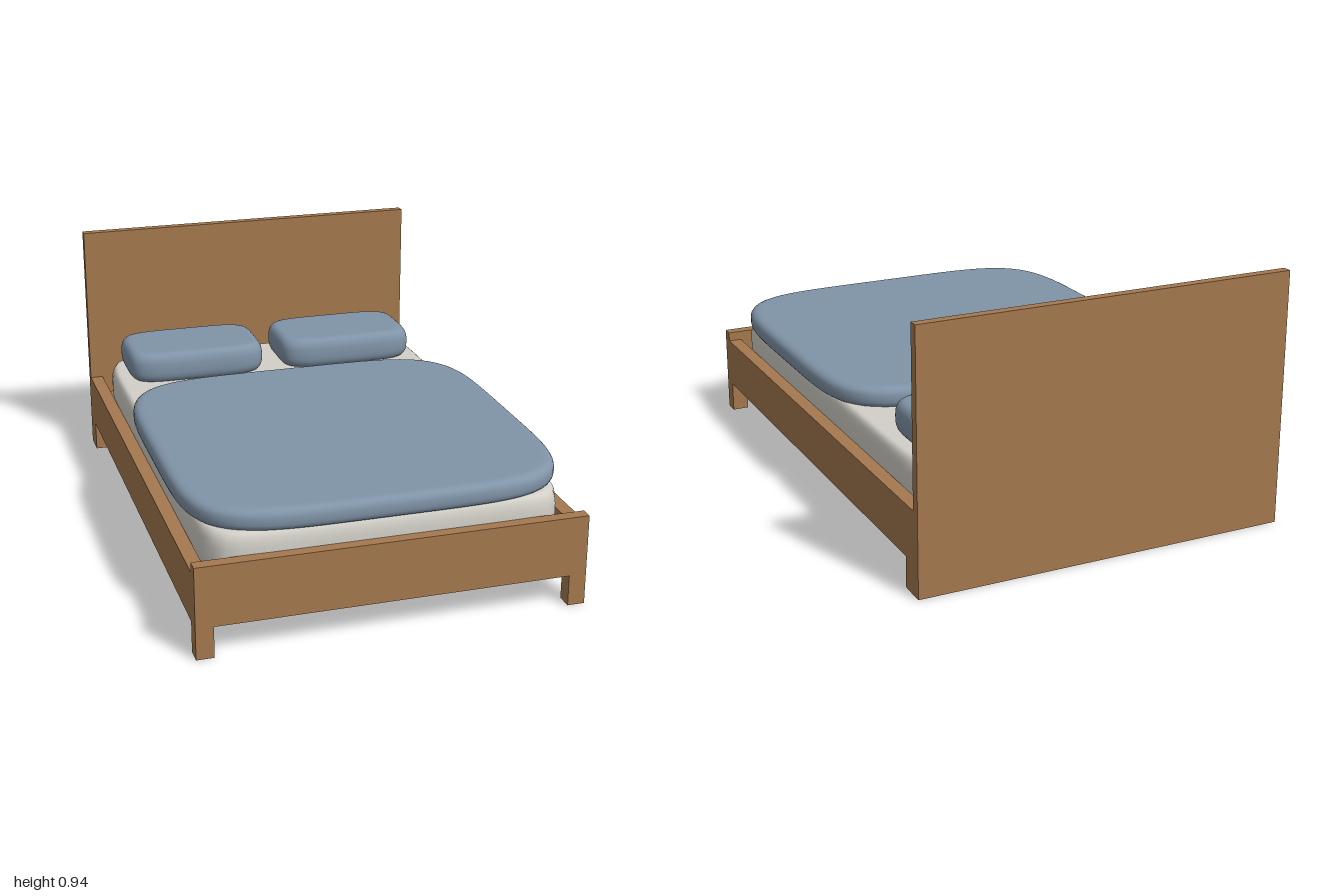
import * as THREE from 'three';

const wood = new THREE.MeshStandardMaterial({ color: 0xa4784e });
wood.name = 'wood';
const linen = new THREE.MeshStandardMaterial({ color: 0xd2d0c8 });
linen.name = 'mattressLinen';
const fabric = new THREE.MeshStandardMaterial({ color: 0x8094a8 });
fabric.name = 'blueFabric';

// Box given by its min and max on each axis
function board(name, [x0, x1], [y0, y1], [z0, z1]) {
  const mesh = new THREE.Mesh(new THREE.BoxGeometry(x1 - x0, y1 - y0, z1 - z0), wood);
  mesh.position.set((x0 + x1) / 2, (y0 + y1) / 2, (z0 + z1) / 2);
  mesh.name = name;
  return mesh;
}

// Soft slab: superellipse outline (power n) lofted over a rounded edge of width r
function cushion(name, material, [x0, x1], [y0, y1], [z0, z1], n, r) {
  const a = (x1 - x0) / 2, h = (y1 - y0) / 2, b = (z1 - z0) / 2;
  const seg = 128, rows = 14, pos = [], idx = [];
  const soft = (v) => Math.sign(v) * Math.pow(Math.abs(v), 0.75);
  pos.push(0, -h, 0);
  for (let j = 0; j <= rows; j++) {
    const v = (j / rows - 0.5) * Math.PI;
    const inset = r * (1 - soft(Math.max(0, Math.cos(v))));
    for (let i = 0; i < seg; i++) {
      const u = (i / seg) * Math.PI * 2, c = Math.cos(u), s = Math.sin(u);
      const k = Math.pow(Math.abs(c) ** n + Math.abs(s) ** n, -1 / n);
      pos.push((a - inset) * c * k, h * soft(Math.sin(v)), (b - inset) * s * k);
    }
  }
  pos.push(0, h, 0);
  const top = pos.length / 3 - 1, at = (j, i) => 1 + j * seg + (i % seg);
  for (let i = 0; i < seg; i++) {
    idx.push(0, at(0, i), at(0, i + 1));
    for (let j = 0; j < rows; j++) {
      idx.push(at(j, i), at(j + 1, i), at(j, i + 1));
      idx.push(at(j, i + 1), at(j + 1, i), at(j + 1, i + 1));
    }
    idx.push(top, at(rows, i + 1), at(rows, i));
  }
  const geo = new THREE.BufferGeometry();
  geo.setAttribute('position', new THREE.Float32BufferAttribute(pos, 3));
  geo.setIndex(idx);
  geo.computeVertexNormals();
  const mesh = new THREE.Mesh(geo, material);
  mesh.position.set((x0 + x1) / 2, (y0 + y1) / 2, (z0 + z1) / 2);
  mesh.name = name;
  return mesh;
}

export function createModel() {
  const bed = new THREE.Group();
  bed.name = 'bed';

  // Frame
  bed.add(board('headboard', [-0.7, 0.7], [0, 0.94], [-1, -0.965]));
  bed.add(board('footboard', [-0.7, 0.7], [0.115, 0.338], [0.955, 1]));
  bed.add(board('basePanel', [-0.65, 0.65], [0.22, 0.25], [-0.92, 0.955]));

  // Rails, legs and pillows on both sides
  for (const s of [-1, 1]) {
    const span = (p, q) => (s > 0 ? [p, q] : [-q, -p]);
    const side = s > 0 ? 'left' : 'right';
    bed.add(board(side + 'Rail', span(0.65, 0.7), [0.115, 0.303], [-0.965, 0.955]));
    bed.add(board(side + 'FrontLeg', span(0.637, 0.7), [0, 0.115], [0.94, 1]));
    bed.add(board(side + 'BackLeg', span(0.637, 0.7), [0, 0.115], [-0.965, -0.9]));
    bed.add(cushion(side + 'Pillow', fabric, span(0.038, 0.598), [0.41, 0.535], [-0.86, -0.51], 5, 0.045));
  }

  // Bedding
  bed.add(cushion('mattress', linen, [-0.65, 0.65], [0.25, 0.412], [-0.905, 0.958], 12, 0.03));
  bed.add(cushion('duvet', fabric, [-0.687, 0.687], [0.403, 0.486], [-0.375, 0.968], 5, 0.045));
  return bed;
}
